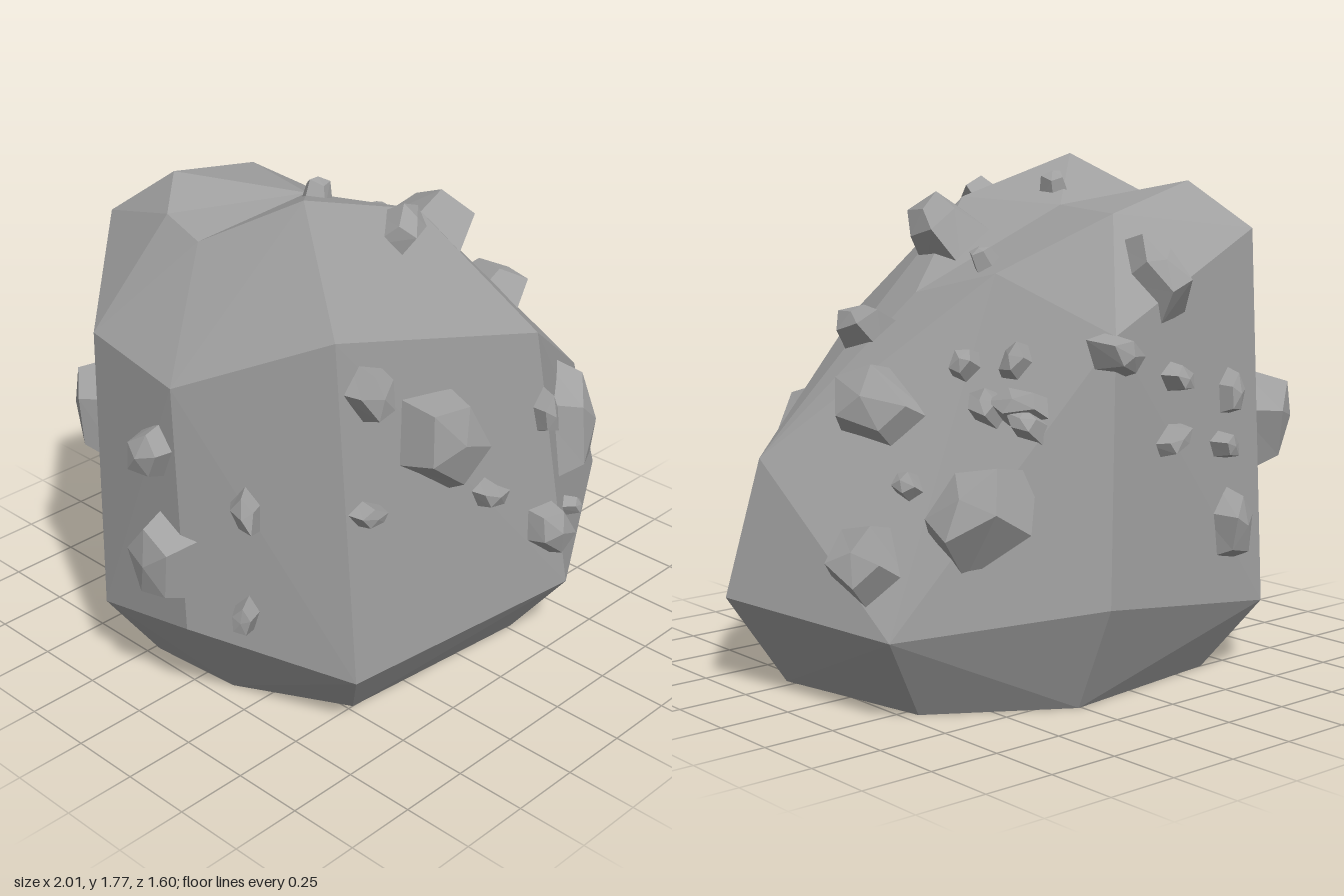
import * as THREE from 'three';

const V = (x, y, z) => new THREE.Vector3(x, y, z);

// Cross-sections of the boulder, eight corners each, from base to crown
const rings = [
  [[-0.48, 0, 0.5], [0.27, 0, 0.57], [0.81, 0, 0.29], [0.7, 0, -0.3],
    [0.26, 0, -0.58], [-0.39, 0, -0.5], [-0.71, 0, -0.23], [-0.68, 0, 0.12]],
  [[-0.63, 0.245, 0.66], [0.33, 0.245, 0.76], [1, 0.31, 0.36], [0.88, 0.285, -0.39],
    [0.28, 0.36, -0.75], [-0.54, 0.24, -0.64], [-0.9, 0.27, -0.27], [-0.9, 0.35, 0.15]],
  [[-0.63, 1.43, 0.57], [0.23, 1.21, 0.66], [0.87, 0.77, 0.34], [0.29, 1.39, -0.2],
    [0.23, 1.22, -0.71], [-0.54, 1.525, -0.57], [-0.88, 1.28, -0.27], [-0.9, 1.22, 0.12]],
  [[-0.48, 1.77, 0.29], [0, 1.62, 0.33], [0.36, 1.31, 0.14], [0.29, 1.39, -0.2],
    [0, 1.585, -0.45], [-0.43, 1.684, -0.37], [-0.61, 1.63, -0.2], [-0.65, 1.6, -0.01]],
];

function boulderGeometry() {
  const pts = [];
  const tri = (a, b, c) => {
    const area = b.clone().sub(a).cross(c.clone().sub(a)).length();
    if (area > 1e-6) for (const p of [a, b, c]) pts.push(p.x, p.y, p.z);
  };
  const R = rings.map(r => r.map(p => V(...p)));
  const base = V(0, 0, 0), crown = V(-0.11, 1.6, -0.07);
  for (let i = 0; i < 8; i++) {
    const j = (i + 1) % 8;
    tri(base, R[0][j], R[0][i]);
    for (let k = 0; k < 3; k++) {
      const a = R[k][i], b = R[k][j], c = R[k + 1][j], d = R[k + 1][i];
      // split each quad along its outward ridge
      const n = b.clone().sub(a).cross(c.clone().sub(a));
      if (n.dot(d.clone().sub(a)) <= 0) { tri(a, b, c); tri(a, c, d); }
      else { tri(a, b, d); tri(b, c, d); }
    }
    tri(R[3][i], R[3][j], crown);
  }
  const g = new THREE.BufferGeometry();
  g.setAttribute('position', new THREE.Float32BufferAttribute(pts, 3));
  g.computeVertexNormals();
  return g;
}

// Five-sided tapered chip with a raised centre and uneven corners
function chipGeometry(rand) {
  const g = new THREE.CylinderGeometry(0.68, 1, 1, 5, 1).toNonIndexed();
  const p = g.attributes.position;
  const stretch = Array.from({ length: 5 }, () => 0.85 + rand() * 0.3);
  const lift = Array.from({ length: 5 }, () => rand() * 0.3 - 0.15);
  for (let i = 0; i < p.count; i++) {
    const x = p.getX(i), y = p.getY(i), z = p.getZ(i);
    if (Math.hypot(x, z) < 0.01) { if (y > 0) p.setY(i, 0.68); continue; }
    const k = (Math.round(Math.atan2(x, z) / (Math.PI * 0.4)) + 5) % 5;
    p.setXYZ(i, x * stretch[k], y > 0 ? y + lift[k] : y, z * stretch[k]);
  }
  g.computeVertexNormals();
  return g;
}

// Chips by side: [u, v, half length, half width, angle of the long axis in degrees]
const sides = {
  front: { at: (u, v) => V(u, v, 3), dir: V(0, 0, -1), U: V(1, 0, 0), W: V(0, 1, 0), chips: [
    [-0.52, 1.24, 0.13, 0.09, 105], [-0.24, 1.0, 0.24, 0.18, 130], [-0.55, 0.835, 0.075, 0.045, 165],
    [-0.04, 0.73, 0.08, 0.065, 160], [0.24, 0.92, 0.1, 0.05, 85], [0.23, 0.5, 0.14, 0.1, 130],
    [0.43, 0.475, 0.07, 0.04, 165], [0.48, 0.77, 0.24, 0.16, 70], [-0.79, 0.83, 0.09, 0.06, 100],
    [-0.8, 0.45, 0.075, 0.055, 75], [-0.14, 1.6, 0.13, 0.09, 35]] },
  left: { at: (u, v) => V(3, v, u), dir: V(-1, 0, 0), U: V(0, 0, 1), W: V(0, 1, 0), chips: [
    [0.26, 1.5, 0.19, 0.15, 10], [0.27, 1.18, 0.16, 0.1, 10], [0, 0.95, 0.23, 0.15, 20],
    [-0.08, 1.41, 0.06, 0.05, 60], [-0.25, 1.1, 0.07, 0.055, 110], [-0.39, 0.98, 0.09, 0.07, 20],
    [-0.55, 0.94, 0.09, 0.06, 10], [-0.5, 0.68, 0.22, 0.16, 120], [-0.23, 0.73, 0.065, 0.055, 40],
    [-0.2, 0.5, 0.16, 0.13, 40]] },
  right: { at: (u, v) => V(-3, v, u), dir: V(1, 0, 0), U: V(0, 0, 1), W: V(0, 1, 0), chips: [
    [0.04, 0.98, 0.13, 0.1, 80], [0.07, 0.6, 0.2, 0.13, 100]] },
  back: { at: (u, v) => V(u, v, -3), dir: V(0, 0, 1), U: V(1, 0, 0), W: V(0, 1, 0), chips: [
    [-0.65, 0.86, 0.21, 0.15, 80], [-0.34, 0.54, 0.16, 0.1, 95], [-0.31, 0.81, 0.075, 0.06, 20],
    [-0.36, 0.98, 0.09, 0.05, 100], [-0.03, 0.87, 0.085, 0.045, 150], [-0.06, 1.06, 0.08, 0.06, 15],
    [-0.03, 1.39, 0.16, 0.1, 75], [0.23, 1.16, 0.1, 0.07, 30], [0.38, 1.12, 0.08, 0.06, 140]] },
  top: { at: (u, v) => V(u, 4, v), dir: V(0, -1, 0), U: V(1, 0, 0), W: V(0, 0, 1), chips: [
    [-0.21, 0.07, 0.06, 0.05, 30], [0.43, -0.5, 0.13, 0.07, 60]] },
};

export function createModel() {
  const model = new THREE.Group();
  model.name = 'boulder';
  const stone = new THREE.MeshStandardMaterial({ color: 0xa0a0a0, flatShading: true });
  stone.name = 'grey stone';

  const body = new THREE.Mesh(boulderGeometry(), stone);
  body.name = 'boulderBody';
  model.add(body);

  let seed = 7;
  const rand = () => (seed = (seed * 16807) % 2147483647) / 2147483647;
  const ray = new THREE.Raycaster();

  // Seat every chip on the boulder's surface
  for (const [side, s] of Object.entries(sides)) {
    const group = new THREE.Group();
    group.name = side + 'Chips';
    for (const [u, v, len, wid, deg] of s.chips) {
      ray.set(s.at(u, v), s.dir);
      const hit = ray.intersectObject(body)[0];
      if (!hit) continue;
      const a = THREE.MathUtils.degToRad(deg), n = hit.face.normal.clone();
      const long = s.U.clone().multiplyScalar(Math.cos(a)).addScaledVector(s.W, Math.sin(a));
      long.addScaledVector(n, -long.dot(n)).normalize();
      const across = n.clone().cross(long);
      const height = 0.05 + wid * 0.7;
      const chip = new THREE.Mesh(chipGeometry(rand), stone);
      chip.name = 'chip';
      chip.quaternion.setFromRotationMatrix(new THREE.Matrix4().makeBasis(across, n, long));
      chip.scale.set(wid, height, len);
      chip.position.copy(hit.point).addScaledVector(n, height * 0.08);
      group.add(chip);
    }
    model.add(group);
  }
  return model;
}
